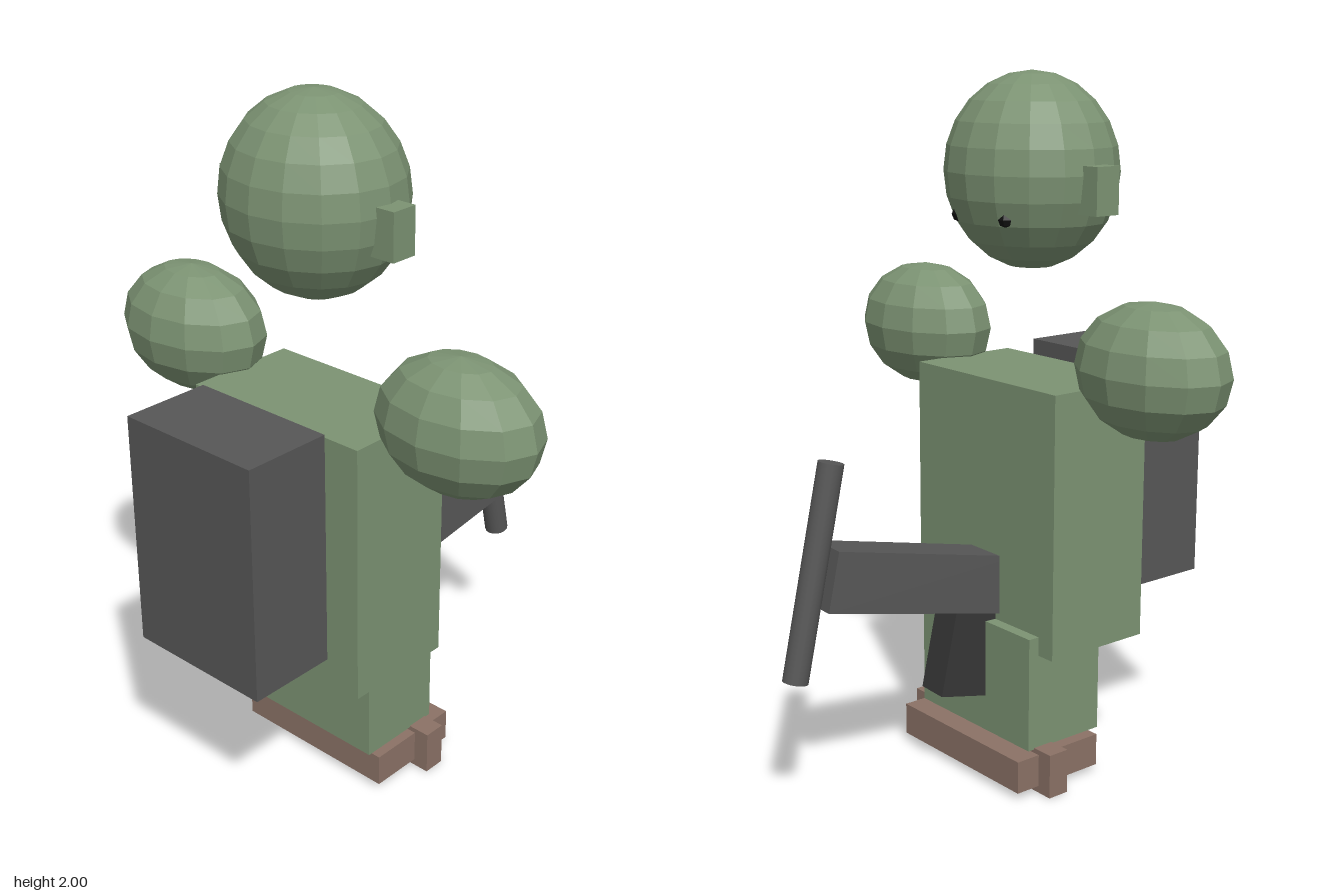
import * as THREE from 'three';

export function createModel() {
  const model = new THREE.Group();
  model.name = 'blockSoldier';

  const material = (name, color) => {
    const m = new THREE.MeshStandardMaterial({ color });
    m.name = name;
    return m;
  };
  const green = material('fatigueGreen', 0x7c9373);
  const brown = material('bootBrown', 0x8b7266);
  const grey = material('gunGrey', 0x575757);
  const dark = material('gripDark', 0x363636);
  const black = material('eyeBlack', 0x111111);

  function add(name, geometry, mat, position) {
    const mesh = new THREE.Mesh(geometry, mat);
    mesh.name = name;
    mesh.position.set(...position);
    model.add(mesh);
    return mesh;
  }
  const box = (name, mat, size, position) =>
    add(name, new THREE.BoxGeometry(...size), mat, position);

  // Faceted ellipsoid: non-indexed so every facet keeps its own normal
  function ellipsoid(name, mat, radii, position, columns, rows) {
    const g = new THREE.SphereGeometry(1, columns, rows).scale(...radii).toNonIndexed();
    g.computeVertexNormals();
    return add(name, g, mat, position);
  }

  // Body
  ellipsoid('head', green, [0.26, 0.273, 0.236], [0, 1.727, 0.19], 16, 12);
  box('torso', green, [0.6, 0.755, 0.34], [0, 0.783, 0.19]);
  box('legs', green, [0.485, 0.335, 0.265], [0, 0.293, 0.118]);
  box('bootBase', brown, [0.525, 0.095, 0.3], [0, 0.068, 0.08]);
  box('chestPack', grey, [0.45, 0.675, 0.263], [0, 0.858, 0.531]);

  // Mirrored parts
  for (const s of [1, -1]) {
    const side = s > 0 ? 'left' : 'right';
    ellipsoid(side + 'Shoulder', green, [0.243, 0.185, 0.168], [s * 0.488, 1.235, 0.19], 12, 8);
    box(side + 'Ear', green, [0.1, 0.13, 0.08], [s * 0.255, 1.69, 0.194]);
    box(side + 'BootClasp', brown, [0.09, 0.13, 0.066], [s * 0.265, 0.065, 0.04]);
    ellipsoid(side + 'Eye', black, [0.022, 0.022, 0.022], [s * 0.1, 1.61, 0.014], 6, 4);
  }

  // Weapon parts share one tilt, nose down towards the front
  const tilt = [
    box('stock', grey, [0.127, 0.17, 0.6], [0.007, 0.622, -0.226]),
    box('barrel', grey, [0.112, 0.127, 0.5], [0, 0.503, 0.192]),
    box('grip', dark, [0.1, 0.36, 0.2], [0, 0.42, -0.029]),
    add('rearHandle', new THREE.CylinderGeometry(0.036, 0.036, 0.6, 16), grey, [0, 0.71, -0.5625]),
  ];
  for (const part of tilt) part.rotation.set(0.21, -0.06, 0, 'YXZ');

  return model;
}
